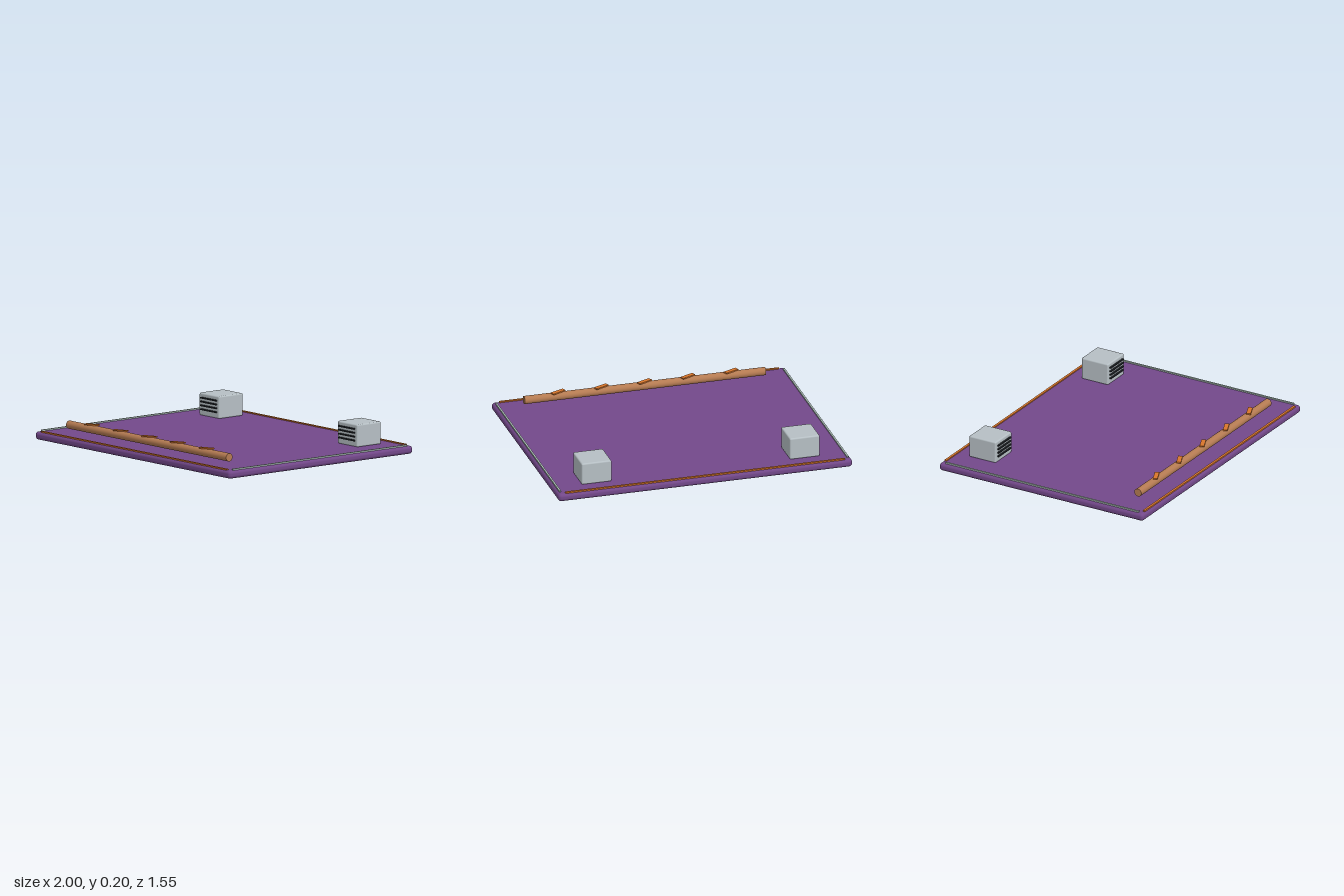
import * as THREE from 'three';
import { RoundedBoxGeometry } from 'three/addons/geometries/RoundedBoxGeometry.js';

export function createModel() {
  const model = new THREE.Group();
  model.name = 'matWithBeamAndVents';

  const paint = (name, color) => {
    const m = new THREE.MeshStandardMaterial({ color });
    m.name = name;
    return m;
  };
  const purple = paint('purple mat', 0x73488a);
  const orange = paint('orange trim', 0xd9762b);
  const sage = paint('pale grey green', 0xa9bab4);
  const grey = paint('light grey', 0xb6bfc4);
  const dark = paint('dark slat', 0x22262b);
  const wood = paint('tan wood', 0xb57b52);

  const add = (parent, name, geometry, material, x, y, z) => {
    const mesh = new THREE.Mesh(geometry, material);
    mesh.name = name;
    mesh.position.set(x, y, z);
    parent.add(mesh);
    return mesh;
  };

  // Base mat with softened edges
  add(model, 'mat', new RoundedBoxGeometry(2, 0.053, 1.555, 4, 0.022), purple, 0, 0.0265, 0);

  // Edge trim: orange front and back, pale at the sides
  for (const s of [-1, 1]) {
    add(model, s > 0 ? 'frontTrim' : 'backTrim',
      new THREE.BoxGeometry(1.9, 0.012, 0.016), orange, 0, 0.054, s * 0.756);
    add(model, s > 0 ? 'leftTrim' : 'rightTrim',
      new THREE.BoxGeometry(0.012, 0.014, 1.47), sage, s * 0.978, 0.055, 0);
  }

  // Two vent boxes with four front slats each
  for (const s of [-1, 1]) {
    const vent = new THREE.Group();
    vent.name = s > 0 ? 'leftVent' : 'rightVent';
    vent.position.set(s * 0.708, 0, -0.56);
    model.add(vent);
    add(vent, 'ventBox', new RoundedBoxGeometry(0.204, 0.149, 0.204, 3, 0.01), grey, 0, 0.1265, 0);
    for (let i = 0; i < 4; i++) {
      add(vent, 'ventSlat', new THREE.BoxGeometry(0.16, 0.009, 0.012), dark, 0, 0.094 + i * 0.0255, 0.107);
    }
  }

  // Round beam across the front
  const beam = new THREE.CylinderGeometry(0.027, 0.027, 1.64, 24);
  beam.rotateZ(Math.PI / 2);
  add(model, 'beam', beam, wood, 0, 0.106, 0.632);

  // Slanted orange markers on top of the beam
  for (let i = -2; i <= 2; i++) {
    const marker = add(model, 'beamMarker', new THREE.BoxGeometry(0.1, 0.008, 0.03), orange,
      i * 0.294, 0.136, 0.631);
    marker.rotation.y = 0.42;
  }

  return model;
}
